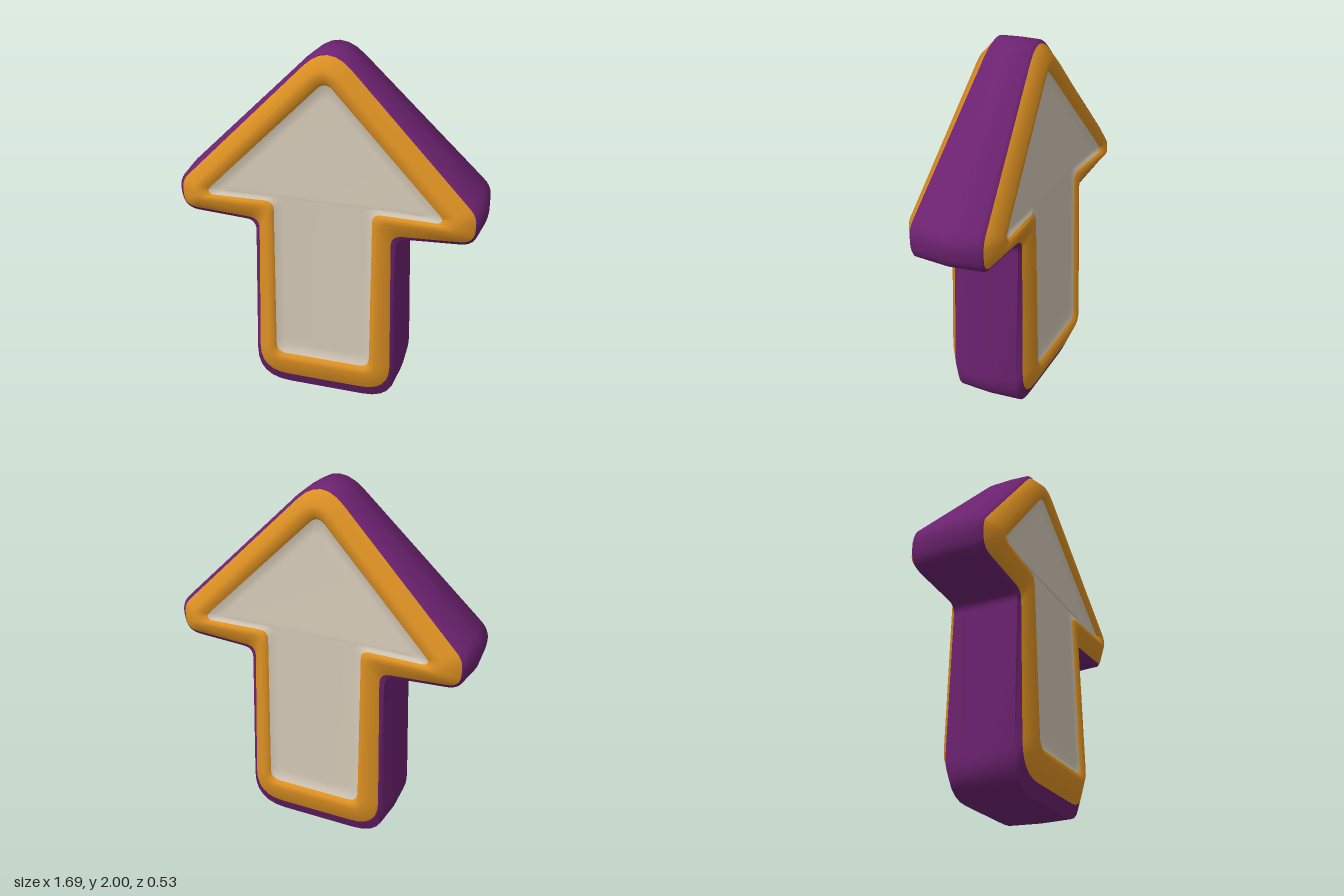
import * as THREE from 'three';
import { toCreasedNormals } from 'three/addons/utils/BufferGeometryUtils.js';

const K = 6;            // segments per rounded corner
const N = 9 * (K + 1);  // points per ring

// Ring from the right-half corners [x, y, z, radius]: top, upper tip, lower tip, neck, base
function ring(corners) {
  const left = corners.slice(1).reverse().map(([x, y, z, r]) => [-x, y, z, r]);
  const all = [...corners, ...left];
  const P = all.map(([x, y, z]) => new THREE.Vector3(x, y, z));
  const points = [];
  all.forEach((c, i) => {
    const toward = (q) => P[i].clone().lerp(q, Math.min(0.45, c[3] / P[i].distanceTo(q)));
    const curve = new THREE.QuadraticBezierCurve3(
      toward(P[(i + 8) % 9]), P[i], toward(P[(i + 1) % 9]));
    points.push(...curve.getPoints(K));
  });
  return points;
}

// Skin a series of rings; optionally close the last one with mirrored left-right strips
function skin(rings, capped = false) {
  const index = [];
  const quad = (a, b, c, d) => index.push(a, b, c, a, c, d);
  for (let r = 0; r < rings.length - 1; r++) {
    for (let i = 0; i < N; i++) {
      const j = (i + 1) % N;
      quad(r * N + i, (r + 1) * N + i, (r + 1) * N + j, r * N + j);
    }
  }
  if (capped) {
    const o = (rings.length - 1) * N;
    const mirror = (i) => o + ((K - i + N) % N);
    const start = K / 2;
    index.push(o + start, mirror(start + 1), o + start + 1);
    for (let i = start + 1; i < start + (N - 1) / 2; i++) {
      quad(mirror(i), mirror(i + 1), o + i + 1, o + i);
    }
  }
  const g = new THREE.BufferGeometry();
  const pos = rings.flat().flatMap((p) => [p.x, p.y, p.z]);
  g.setAttribute('position', new THREE.Float32BufferAttribute(pos, 3));
  g.setIndex(index);
  return toCreasedNormals(g, 1.0);
}

export function createModel() {
  const purple = new THREE.MeshStandardMaterial({ name: 'purple', color: 0x6c2270 });
  const orange = new THREE.MeshStandardMaterial({ name: 'orange', color: 0xdc9022 });
  const cream = new THREE.MeshStandardMaterial({ name: 'cream', color: 0xd2c7b5 });

  // Rings from the middle of the side wall to the front panel
  const middle = ring([[0, 2.072, 0, 0.2], [0.857, 1.235, 0, 0.07], [0.825, 1.06, 0, 0.08],
    [0.4, 1.035, 0, 0.06], [0.43, 0, 0, 0.2]]);
  const wall = ring([[0, 2.067, 0.1, 0.19], [0.836, 1.235, 0.185, 0.07], [0.81, 1.065, 0.185, 0.08],
    [0.39, 1.042, 0.185, 0.06], [0.42, 0.003, 0.18, 0.2]]);
  const border = ring([[0, 2.045, 0.115, 0.18], [0.81, 1.235, 0.2, 0.05], [0.805, 1.085, 0.2, 0.07],
    [0.367, 1.06, 0.195, 0.06], [0.39, 0.075, 0.212, 0.17]]);
  const crest = ring([[0, 1.965, 0.182, 0.14], [0.725, 1.225, 0.255, 0.03], [0.71, 1.16, 0.262, 0.03],
    [0.315, 1.145, 0.238, 0.06], [0.315, 0.195, 0.263, 0.08]]);
  const lip = ring([[0, 1.885, 0.178, 0.07], [0.67, 1.22, 0.25, 0.02], [0.65, 1.182, 0.255, 0.02],
    [0.285, 1.175, 0.235, 0.05], [0.285, 0.225, 0.258, 0.06]]);
  const panelEdge = ring([[0, 1.86, 0.162, 0.06], [0.645, 1.215, 0.236, 0.02], [0.63, 1.19, 0.238, 0.02],
    [0.272, 1.187, 0.222, 0.05], [0.274, 0.24, 0.242, 0.06]]);
  const dish = ring([[0, 1.82, 0.152, 0.06], [0.6, 1.222, 0.222, 0.02], [0.585, 1.205, 0.222, 0.02],
    [0.25, 1.202, 0.212, 0.05], [0.25, 0.265, 0.23, 0.06]]);
  const floor = ring([[0, 1.78, 0.153, 0.06], [0.55, 1.232, 0.218, 0.02], [0.535, 1.218, 0.218, 0.02],
    [0.225, 1.215, 0.21, 0.05], [0.225, 0.3, 0.227, 0.06]]);

  const model = new THREE.Group();
  model.name = 'arrow';
  const add = (parent, name, geometry, material) => {
    const mesh = new THREE.Mesh(geometry, material);
    mesh.name = name;
    parent.add(mesh);
  };

  // Purple side wall running from the back border to the front border
  const back = (r) => r.map((p) => new THREE.Vector3(p.x, p.y, -p.z));
  add(model, 'sideWall', skin([back(border), back(wall), middle, wall, border]), purple);

  // Orange frame and cream panel, the same on both faces
  const frame = skin([border, crest, lip, panelEdge]);
  const panel = skin([panelEdge, dish, floor], true);
  for (const side of ['front', 'back']) {
    const face = new THREE.Group();
    face.name = side + 'Face';
    add(face, side + 'Frame', frame, orange);
    add(face, side + 'Panel', panel, cream);
    if (side === 'back') face.rotation.y = Math.PI;
    model.add(face);
  }
  return model;
}
